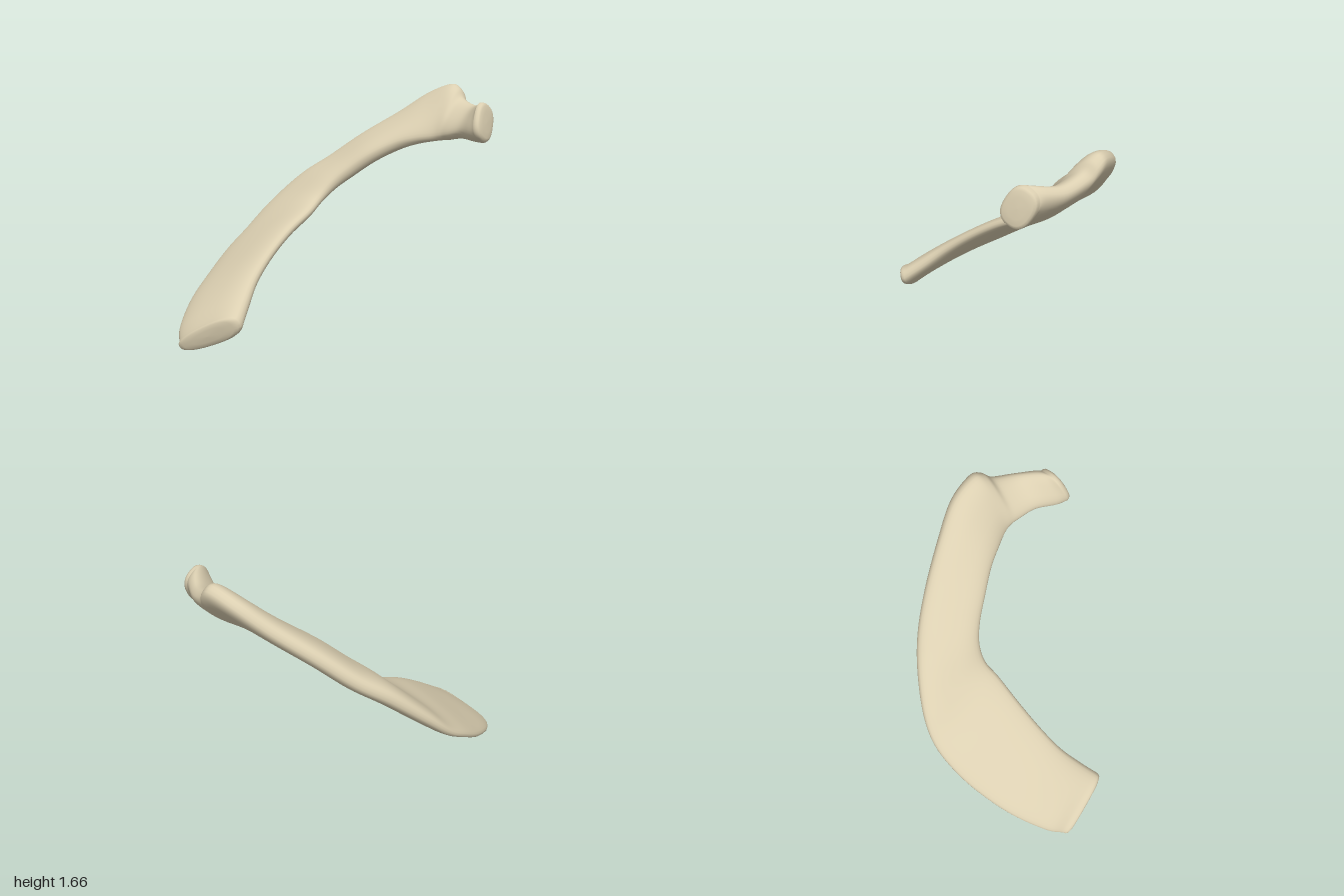
import * as THREE from 'three';

// Stations along the blade: outer edge xyz, inner edge xyz, thickness at outer and inner edge
const STATIONS = [
  [-0.32, 0.035, 0.96, 0.085, 0.235, 0.775, 0.12, 0.17],
  [-0.42, 0.11, 0.885, 0.01, 0.335, 0.66, 0.12, 0.15],
  [-0.57, 0.24, 0.69, -0.065, 0.455, 0.53, 0.11, 0.13],
  [-0.69, 0.38, 0.45, -0.12, 0.59, 0.36, 0.10, 0.12],
  [-0.755, 0.51, 0.25, -0.16, 0.715, 0.17, 0.10, 0.12],
  [-0.775, 0.63, 0.07, -0.188, 0.815, -0.02, 0.11, 0.12],
  [-0.735, 0.79, -0.10, -0.215, 0.89, -0.14, 0.13, 0.12],
  [-0.625, 0.985, -0.31, -0.19, 0.985, -0.24, 0.15, 0.14],
  [-0.495, 1.12, -0.485, -0.12, 1.075, -0.33, 0.15, 0.15],
  [-0.32, 1.285, -0.645, -0.01, 1.175, -0.43, 0.15, 0.15],
  [-0.10, 1.455, -0.81, 0.11, 1.25, -0.54, 0.15, 0.15],
  [0.08, 1.595, -0.92, 0.22, 1.285, -0.62, 0.16, 0.14],
  [0.25, 1.66, -0.965, 0.31, 1.30, -0.68, 0.17, 0.13],
  [0.33, 1.63, -0.96, 0.37, 1.31, -0.70, 0.17, 0.13],
  [0.39, 1.56, -0.935, 0.43, 1.32, -0.70, 0.14, 0.13],
  [0.53, 1.52, -0.895, 0.55, 1.34, -0.69, 0.13, 0.13],
  [0.65, 1.54, -0.82, 0.68, 1.33, -0.65, 0.16, 0.16],
  [0.69, 1.55, -0.775, 0.75, 1.32, -0.655, 0.20, 0.20],
];
const STEPS = 6, SIDES = 32;
const BLADE_UP = new THREE.Vector3(0, 0.8, 0.6);
const FRONT_END_UP = new THREE.Vector3(-0.05, 0.97, 0.25);
const roundPow = (v) => Math.sign(v) * Math.abs(v) ** 0.8;

function boneGeometry() {
  const curve = (k, n) => new THREE.CatmullRomCurve3(
    STATIONS.map((s) => new THREE.Vector3(s[k], s[k + 1], n === 3 ? s[k + 2] : 0)), false, 'catmullrom', 0.5);
  const outer = curve(0, 3), inner = curve(3, 3), thick = curve(6, 2);
  const positions = [], index = [];
  let rings = 0;

  // One rounded cross-section, optionally shrunk and pushed out for the end caps
  const addRing = (t, scale = 1, push = 0) => {
    const o = outer.getPoint(t), i = inner.getPoint(t), d = thick.getPoint(t);
    const centre = o.clone().add(i).multiplyScalar(0.5);
    const half = i.clone().sub(o).multiplyScalar(0.5);
    const w = half.clone().normalize();
    // The front end leans back, so its sections start steeper than the blade
    const up = FRONT_END_UP.clone().lerp(BLADE_UP, THREE.MathUtils.smoothstep(t, 0, 0.12));
    const n = up.addScaledVector(w, -up.dot(w)).normalize();
    centre.addScaledVector(w.clone().cross(n), push);
    for (let j = 0; j < SIDES; j++) {
      const a = (j / SIDES) * Math.PI * 2;
      const u = roundPow(Math.cos(a)), v = roundPow(Math.sin(a));
      const h = THREE.MathUtils.lerp(d.x, d.y, (u + 1) / 2) / 2;
      const p = centre.clone().addScaledVector(half, u * scale).addScaledVector(n, v * h * scale);
      positions.push(p.x, p.y, p.z);
    }
    rings++;
  };

  // Softly rounded end caps: [scale, outward offset as a share of the bulge]
  const cap = [[0.001, 1], [0.5, 0.97], [0.8, 0.88], [0.93, 0.7], [0.985, 0.38]];
  cap.forEach(([s, e]) => addRing(0, s, e * 0.045));
  const total = (STATIONS.length - 1) * STEPS;
  for (let k = 0; k <= total; k++) addRing(k / total);
  cap.reverse().forEach(([s, e]) => addRing(1, s, e * -0.04));

  for (let r = 0; r < rings - 1; r++) {
    for (let j = 0; j < SIDES; j++) {
      const a = r * SIDES + j, b = r * SIDES + ((j + 1) % SIDES);
      index.push(a, a + SIDES, b, b, a + SIDES, b + SIDES);
    }
  }
  const geometry = new THREE.BufferGeometry();
  geometry.setAttribute('position', new THREE.Float32BufferAttribute(positions, 3));
  geometry.setIndex(index);
  geometry.computeVertexNormals();
  return geometry;
}

export function createModel() {
  const bone = new THREE.MeshStandardMaterial({ color: 0xdbcfb1 });
  bone.name = 'bone';
  const group = new THREE.Group();
  group.name = 'firstRib';
  const rib = new THREE.Mesh(boneGeometry(), bone);
  rib.name = 'ribBone';
  group.add(rib);
  return group;
}
